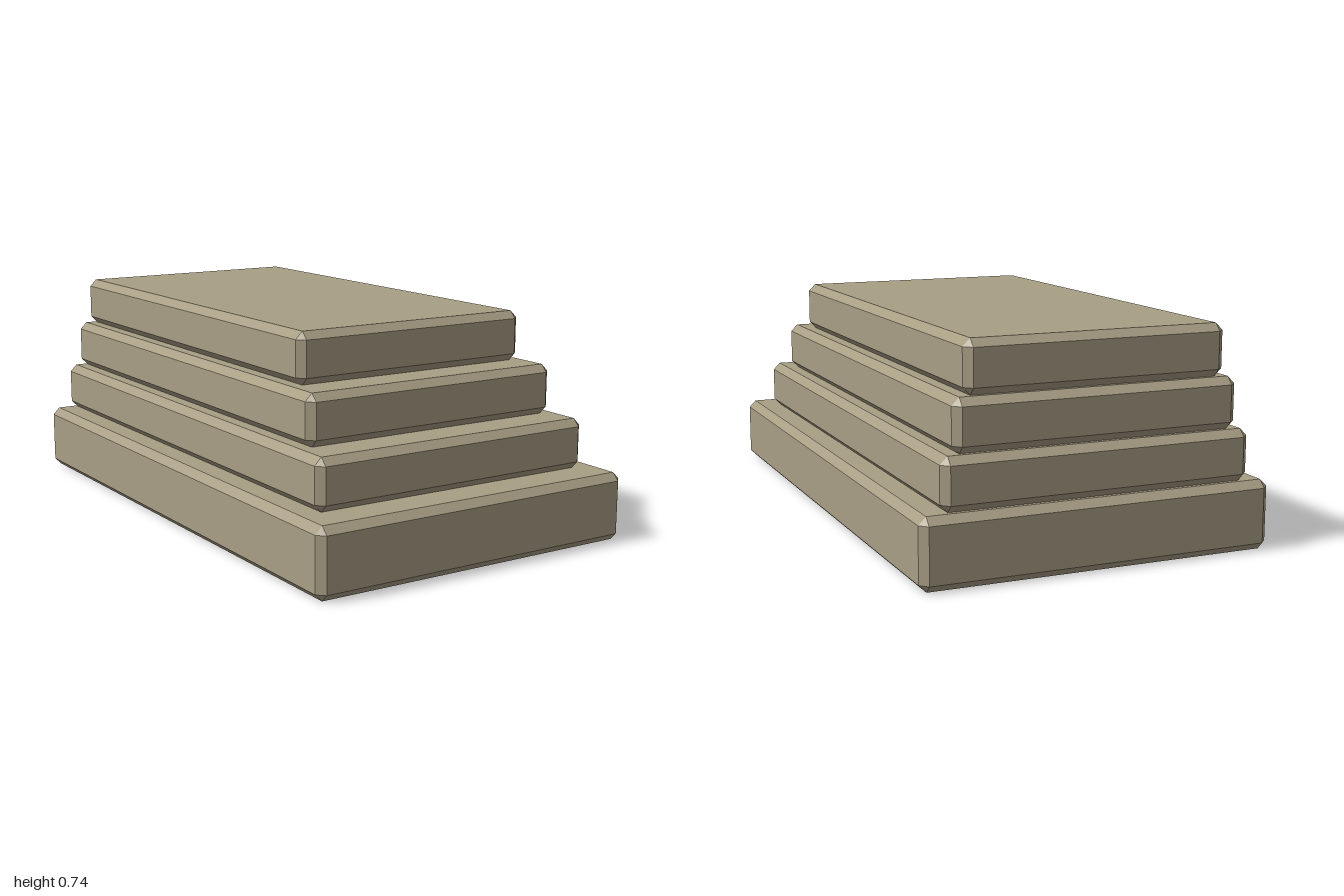
import * as THREE from 'three';
import { ConvexGeometry } from 'three/addons/geometries/ConvexGeometry.js';

const BEVEL = 0.025;

// Box with every edge chamfered: three points at each of the eight corners
function chamferedBox(w, h, d, c) {
  const points = [];
  for (const sx of [-1, 1]) for (const sy of [-1, 1]) for (const sz of [-1, 1]) {
    const x = w / 2, y = h / 2, z = d / 2;
    points.push(
      new THREE.Vector3(sx * x, sy * (y - c), sz * (z - c)),
      new THREE.Vector3(sx * (x - c), sy * y, sz * (z - c)),
      new THREE.Vector3(sx * (x - c), sy * (y - c), sz * z)
    );
  }
  return new ConvexGeometry(points);
}

export function createModel() {
  const group = new THREE.Group();
  group.name = 'steppedSlabs';
  const stone = new THREE.MeshStandardMaterial({ color: 0xa89e84, flatShading: true });

  // Stacked slabs, bottom to top, each set back further at the front
  const slabs = [
    { name: 'baseSlab', width: 1.204, y0: 0, y1: 0.232, back: -1, front: 1 },
    { name: 'lowerStep', width: 1.056, y0: 0.232, y1: 0.403, back: -0.986, front: 0.88 },
    { name: 'middleStep', width: 0.97, y0: 0.403, y1: 0.573, back: -0.972, front: 0.76 },
    { name: 'topStep', width: 0.888, y0: 0.573, y1: 0.744, back: -0.958, front: 0.64 },
  ];
  for (const { name, width, y0, y1, back, front } of slabs) {
    const slab = new THREE.Mesh(chamferedBox(width, y1 - y0, front - back, BEVEL), stone);
    slab.name = name;
    slab.position.set(0, (y0 + y1) / 2, (back + front) / 2);
    group.add(slab);
  }
  return group;
}
